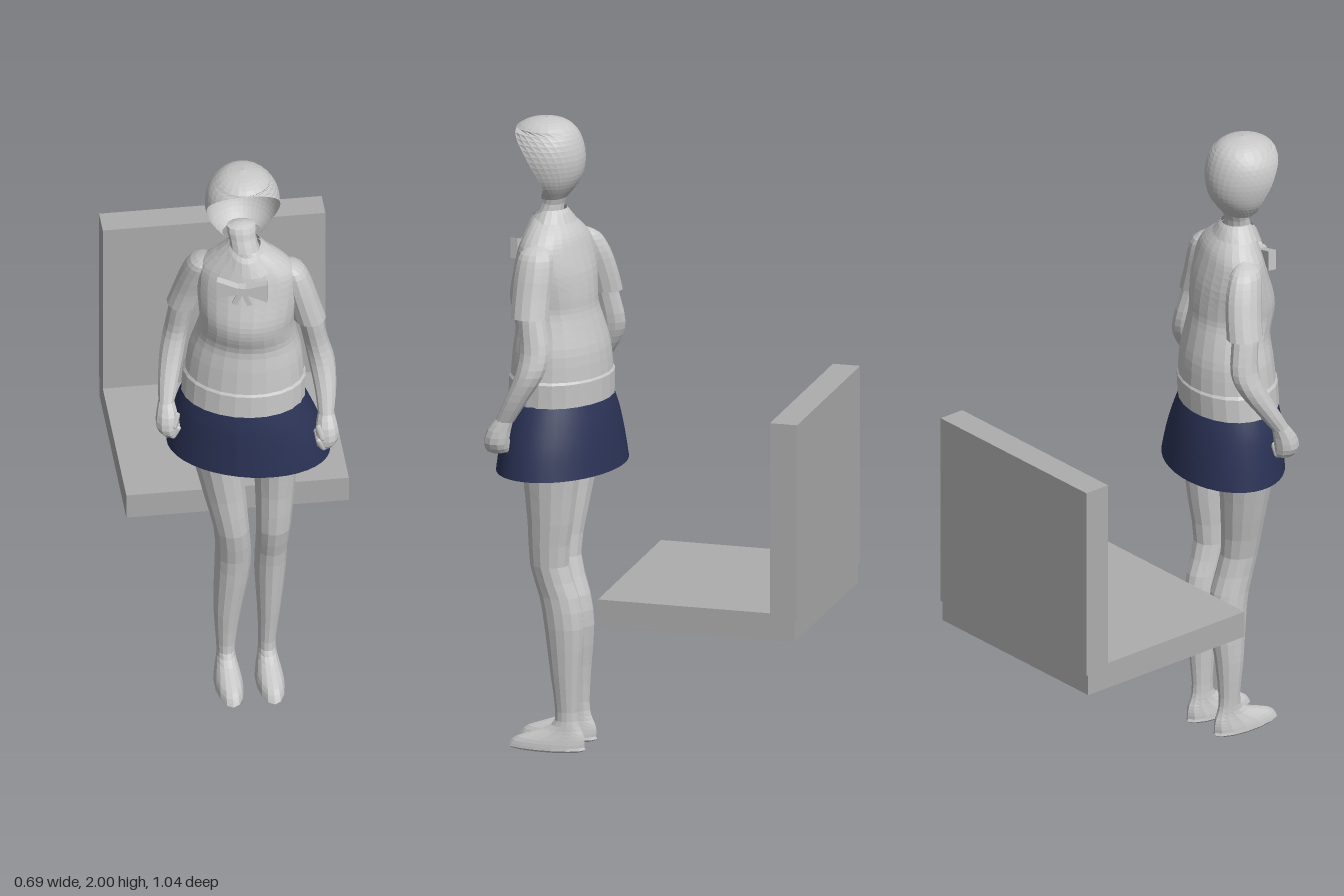
import * as THREE from 'three';

const grey = new THREE.MeshStandardMaterial({ color: 0xc8c8c8, side: THREE.DoubleSide });
grey.name = 'pale grey';
const navy = new THREE.MeshStandardMaterial({ color: 0x2b3356, side: THREE.DoubleSide });
navy.name = 'navy';
const seatGrey = new THREE.MeshStandardMaterial({ color: 0xadadad });
seatGrey.name = 'seat grey';

const YAW = 0.314; // the torso is turned slightly towards -x

// Catmull-Rom refinement of cross-sections [y, cx, cz, rx, rz]
function refine(rings, sub) {
  const out = [];
  const at = (i) => rings[Math.max(0, Math.min(rings.length - 1, i))];
  for (let i = 0; i < rings.length - 1; i++) {
    for (let k = 0; k < sub; k++) {
      const t = k / sub;
      out.push(rings[i].map((_, n) => {
        const [a, b, c, d] = [at(i - 1)[n], at(i)[n], at(i + 1)[n], at(i + 2)[n]];
        const v = b + 0.5 * t * (c - a + t * (2 * a - 5 * b + 4 * c - d + t * (3 * (b - c) + d - a)));
        return n > 2 ? Math.max(v, 0.0005) : v;
      }));
    }
  }
  out.push(rings[rings.length - 1]);
  return out;
}

// Skin over horizontal ellipses listed from top to bottom.
// cut(y) leaves the front open wherever z would exceed it.
function loft(rings, { yaw = 0, segs = 16, sub = 3, cut = null, flat = true } = {}) {
  const pos = [], index = [];
  const c = Math.cos(yaw), s = Math.sin(yaw);
  const rows = refine(rings, sub);
  for (const [y, cx, cz, rx, rz] of rows) {
    const half = cut ? Math.acos(THREE.MathUtils.clamp((cz - cut(y)) / rz, -1, 1)) : Math.PI;
    for (let j = 0; j <= segs; j++) {
      const a = -Math.PI / 2 + half * (2 * j / segs - 1);
      const u = rx * Math.cos(a), w = rz * Math.sin(a);
      pos.push(cx + u * c - w * s, y, cz + u * s + w * c);
    }
  }
  for (let i = 0; i < rows.length - 1; i++) {
    for (let j = 0; j < segs; j++) {
      const a = i * (segs + 1) + j, b = a + segs + 1;
      index.push(a, a + 1, b, a + 1, b + 1, b);
    }
  }
  let g = new THREE.BufferGeometry();
  g.setAttribute('position', new THREE.Float32BufferAttribute(pos, 3));
  g.setIndex(index);
  if (flat) g = g.toNonIndexed();
  g.computeVertexNormals();
  return g;
}

// Piecewise linear lookup through [y, z] pairs, y descending
function lookup(table, y) {
  if (y >= table[0][0]) return 9;
  for (let i = 1; i < table.length; i++) {
    const [y0, z0] = table[i - 1], [y1, z1] = table[i];
    if (y >= y1) return z0 + (z1 - z0) * (y0 - y) / (y0 - y1);
  }
  return table[table.length - 1][1];
}

export function createModel() {
  const model = new THREE.Group();
  const add = (name, geo, mat = grey, parent = model) => {
    const m = new THREE.Mesh(geo, mat);
    m.name = name;
    parent.add(m);
    return m;
  };

  // Chair: seat slab and back slab
  const chair = new THREE.Group();
  chair.name = 'chair';
  model.add(chair);
  add('chairSeat', new THREE.BoxGeometry(0.69, 0.085, 0.63), seatGrey, chair).position.set(0, 0.535, -0.2);
  add('chairBack', new THREE.BoxGeometry(0.69, 0.625, 0.087), seatGrey, chair).position.set(0, 0.873, -0.479);

  // Head: hollow shell with an open face
  const face = [[1.972, 0.485], [1.90, 0.425], [1.833, 0.387], [1.79, 0.372], [1.745, 0.39]];
  add('head', loft([
    [2.0, -0.02, 0.385, 0.002, 0.002], [1.99, -0.02, 0.385, 0.05, 0.055],
    [1.968, -0.02, 0.388, 0.083, 0.092], [1.93, -0.021, 0.39, 0.108, 0.115],
    [1.88, -0.021, 0.39, 0.116, 0.125], [1.83, -0.021, 0.385, 0.108, 0.115],
    [1.79, -0.021, 0.375, 0.091, 0.086], [1.75, -0.02, 0.365, 0.06, 0.045],
  ], { cut: (y) => lookup(face, y), segs: 20 }));

  // Neck and jaw stub
  add('neck', loft([
    [1.775, -0.02, 0.35, 0.002, 0.002], [1.765, -0.02, 0.35, 0.045, 0.032],
    [1.73, -0.018, 0.362, 0.042, 0.034], [1.69, -0.012, 0.372, 0.046, 0.042],
    [1.65, -0.01, 0.372, 0.06, 0.05],
  ], { segs: 12, sub: 2 }));

  // Knitted top with a slightly proud hem band
  add('sweater', loft([
    [1.695, -0.008, 0.366, 0.05, 0.05], [1.675, -0.005, 0.36, 0.085, 0.062],
    [1.64, 0, 0.354, 0.125, 0.08], [1.60, 0, 0.352, 0.153, 0.093],
    [1.53, 0, 0.352, 0.158, 0.113], [1.46, -0.002, 0.357, 0.151, 0.128],
    [1.41, -0.003, 0.354, 0.147, 0.129], [1.35, -0.003, 0.338, 0.158, 0.127],
    [1.28, -0.005, 0.333, 0.176, 0.138], [1.19, -0.008, 0.333, 0.186, 0.145],
  ], { yaw: YAW, segs: 24 }));
  add('sweaterHem', loft([
    [1.205, -0.008, 0.333, 0.184, 0.142], [1.195, -0.008, 0.333, 0.191, 0.149],
    [1.12, -0.012, 0.335, 0.193, 0.149], [1.118, -0.012, 0.335, 0.18, 0.137],
  ], { yaw: YAW, segs: 24, sub: 1 }));

  // Shirt collar, dipping at the front
  const collar = loft([
    [1.715, -0.012, 0.367, 0.05, 0.047], [1.705, -0.011, 0.367, 0.058, 0.055],
    [1.67, -0.008, 0.364, 0.092, 0.07],
  ], { yaw: YAW, sub: 1, segs: 20 });
  const cp = collar.attributes.position;
  for (let i = 0; i < cp.count; i++) {
    const front = Math.max(0, cp.getZ(i) - 0.375);
    cp.setY(i, cp.getY(i) - front * 0.7);
    cp.setZ(i, cp.getZ(i) + front * 0.3);
  }
  collar.computeVertexNormals();
  add('collar', collar);

  // Bow: two flared wings and a knot
  const bow = new THREE.Group();
  bow.name = 'bow';
  bow.position.set(-0.03, 1.59, 0.452);
  bow.rotation.y = -0.25;
  model.add(bow);
  add('bowKnot', new THREE.BoxGeometry(0.022, 0.028, 0.03), grey, bow);
  for (const side of [1, -1]) {
    const wing = new THREE.BoxGeometry(0.07, 0.066, 0.026);
    const p = wing.attributes.position;
    for (let i = 0; i < p.count; i++) {
      if (p.getX(i) * side < 0) p.setY(i, p.getY(i) * 0.3);
    }
    wing.computeVertexNormals();
    add('bowWing', wing, grey, bow).position.x = side * 0.043;
    const tail = add('bowTail', new THREE.BoxGeometry(0.016, 0.05, 0.008), grey, bow);
    tail.position.set(side * 0.014, -0.03, 0.004);
    tail.rotation.z = side * 0.4;
  }

  // Skirt, open below
  add('skirt', loft([
    [1.135, -0.012, 0.336, 0.186, 0.142], [1.07, -0.008, 0.333, 0.212, 0.157],
    [0.99, 0, 0.33, 0.236, 0.168], [0.905, 0.005, 0.328, 0.254, 0.177],
  ], { yaw: YAW, segs: 40, flat: false }), navy);

  // Sleeves: shared x profile, own depth for each side
  const sleeve = [[1.632, 0.115, 0.008, 0.01], [1.605, 0.135, 0.036, 0.05], [1.55, 0.15, 0.047, 0.06],
    [1.48, 0.169, 0.049, 0.06], [1.415, 0.187, 0.051, 0.06]];
  const sleeveZ = { left: [0.375, 0.375, 0.377, 0.38, 0.38], right: [0.31, 0.3, 0.28, 0.262, 0.252] };
  const arms = {
    left: [[1.48, 0.175, 0.377, 0.036, 0.04], [1.40, 0.192, 0.37, 0.038, 0.044], [1.31, 0.21, 0.358, 0.038, 0.047],
      [1.24, 0.226, 0.37, 0.041, 0.045], [1.16, 0.233, 0.41, 0.034, 0.036], [1.09, 0.23, 0.447, 0.025, 0.03]],
    right: [[1.48, -0.175, 0.262, 0.036, 0.04], [1.40, -0.192, 0.248, 0.038, 0.044], [1.31, -0.206, 0.235, 0.037, 0.047],
      [1.24, -0.222, 0.255, 0.038, 0.045], [1.16, -0.24, 0.302, 0.032, 0.036], [1.10, -0.251, 0.34, 0.024, 0.03]],
  };
  const legs = {
    left: [[0.97, 0.09, 0.335, 0.08, 0.1], [0.88, 0.087, 0.34, 0.07, 0.09], [0.74, 0.085, 0.343, 0.061, 0.073],
      [0.6, 0.08, 0.348, 0.053, 0.061], [0.5, 0.077, 0.318, 0.049, 0.063], [0.4, 0.075, 0.303, 0.048, 0.062],
      [0.25, 0.072, 0.3, 0.036, 0.047], [0.13, 0.067, 0.297, 0.027, 0.036]],
    right: [[0.97, -0.105, 0.33, 0.09, 0.105], [0.88, -0.094, 0.337, 0.077, 0.092], [0.74, -0.072, 0.342, 0.066, 0.073],
      [0.6, -0.05, 0.346, 0.055, 0.061], [0.48, -0.041, 0.316, 0.056, 0.063], [0.38, -0.045, 0.303, 0.053, 0.062],
      [0.25, -0.057, 0.3, 0.042, 0.047], [0.13, -0.061, 0.297, 0.03, 0.036]],
  };
  for (const [name, side] of [['left', 1], ['right', -1]]) {
    add(name + 'Sleeve', loft(sleeve.map(([y, x, rx, rz], i) => [y, x * side, sleeveZ[name][i], rx, rz]), { segs: 14 }));
    add(name + 'Arm', loft(arms[name], { segs: 12 }));

    // Closed hand with thumb and curled fingers
    const [wy, wx, wz] = arms[name][5];
    add(name + 'Hand', loft([
      [wy + 0.005, wx, wz, 0.024, 0.028], [wy - 0.03, wx, wz + 0.018, 0.033, 0.037],
      [wy - 0.07, wx, wz + 0.027, 0.036, 0.04], [wy - 0.1, wx - side * 0.008, wz + 0.026, 0.026, 0.032],
      [wy - 0.108, wx - side * 0.008, wz + 0.026, 0.001, 0.001],
    ], { segs: 10, sub: 2 }));
    for (let f = 0; f < 4; f++) {
      const finger = add(name + 'Finger', new THREE.CapsuleGeometry(0.01, 0.03, 2, 6));
      finger.position.set(wx - side * 0.022, wy - 0.083, wz + 0.052 - f * 0.017);
      finger.rotation.z = side * 0.5;
    }
    const thumb = add(name + 'Thumb', new THREE.CapsuleGeometry(0.011, 0.035, 2, 6));
    thumb.position.set(wx - side * 0.022, wy - 0.045, wz + 0.045);
    thumb.rotation.set(-0.4, 0, side * 0.3);

    // Leg running into a bare foot
    const fx = legs[name][7][1];
    add(name + 'Leg', loft([...legs[name],
      [0.085, fx, 0.3, 0.029, 0.045], [0.06, fx, 0.322, 0.034, 0.078], [0.04, fx, 0.347, 0.04, 0.108],
      [0.018, fx, 0.36, 0.044, 0.12], [0.004, fx, 0.36, 0.04, 0.114], [0, fx, 0.36, 0.001, 0.001],
    ], { segs: 14, sub: 2 }));
  }
  return model;
}
